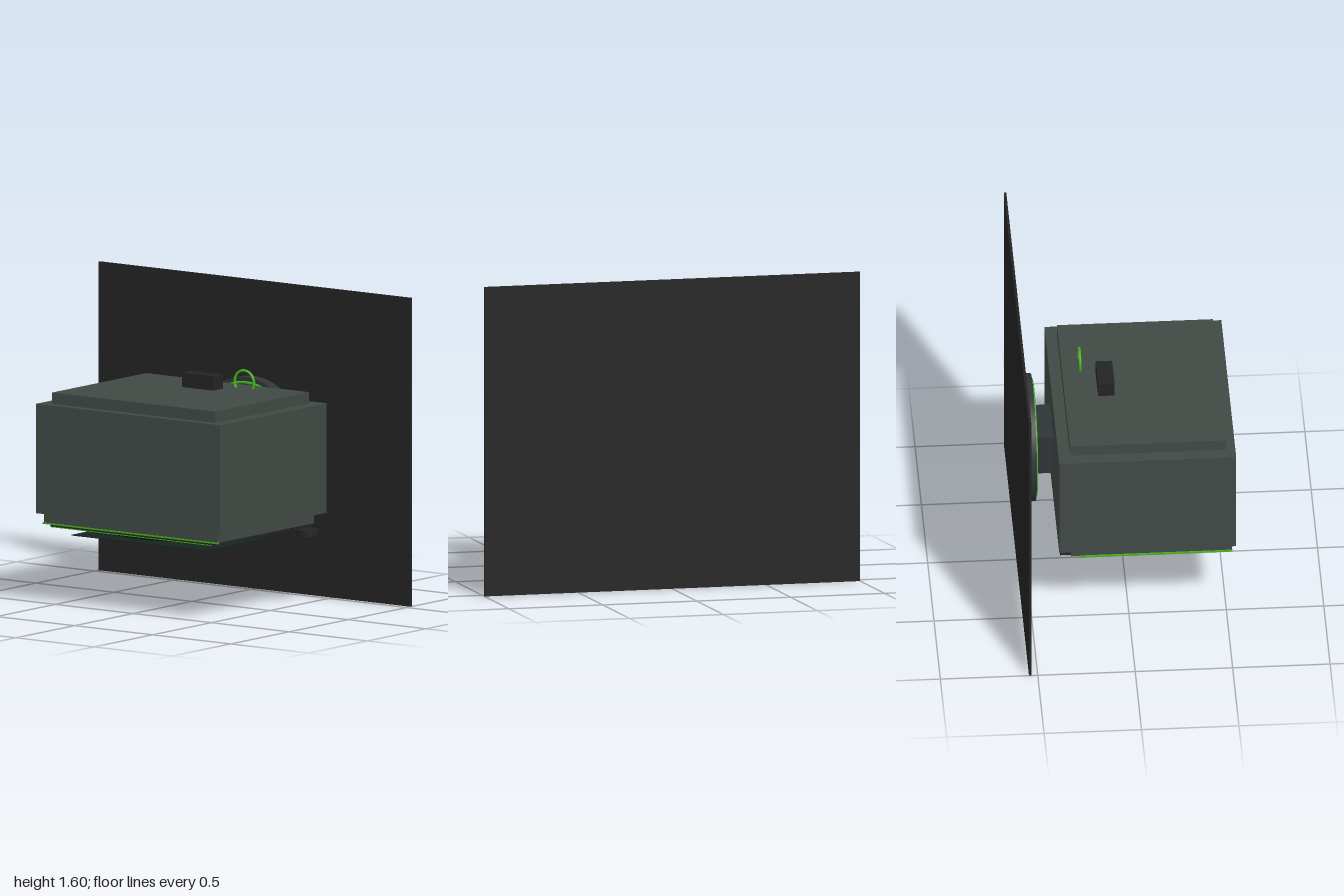
import * as THREE from 'three';

const mat = (color) => new THREE.MeshStandardMaterial({ color });

export function createModel() {
  const model = new THREE.Group();
  const shell = mat(0x414945), dark = mat(0x242424), metal = mat(0x303537);
  const green = mat(0x46b31c), glass = mat(0x14241f);

  const add = (name, geometry, material) => {
    const mesh = new THREE.Mesh(geometry, material);
    mesh.name = name;
    model.add(mesh);
    return mesh;
  };
  // Box given by its limits on each axis
  const box = (name, material, x0, x1, y0, y1, z0, z1) =>
    add(name, new THREE.BoxGeometry(x1 - x0, y1 - y0, z1 - z0), material)
      .position.set((x0 + x1) / 2, (y0 + y1) / 2, (z0 + z1) / 2);
  const ring = (name, radius, tube, x, y, z) => {
    const mesh = add(name, new THREE.TorusGeometry(radius, tube, 10, 64), green);
    mesh.position.set(x, y, z);
    return mesh;
  };

  // Wall panel behind everything
  box('wallPanel', dark, -1, 1, 0, 1.6, -0.545, -0.532);

  // Round wall mount with accent ring and neck
  const disc = add('mountDisc', new THREE.CylinderGeometry(0.328, 0.328, 0.06, 64), metal);
  disc.rotation.x = Math.PI / 2;
  disc.position.set(0, 0.777, -0.49);
  ring('mountRing', 0.3, 0.007, 0, 0.777, -0.459);
  box('mountNeck', metal, -0.143, 0.143, 0.65, 0.875, -0.47, -0.35);

  // Housing: main body, raised lid and lower bezel
  box('housing', shell, -0.59, 0.59, 0.47, 1.037, -0.363, 0.545);
  box('housingLid', shell, -0.522, 0.522, 1.037, 1.096, -0.303, 0.498);
  box('lowerBezel', shell, -0.555, 0.555, 0.42, 0.47, -0.3, 0.525);

  // Top block and standing ring
  box('topBlock', dark, -0.1, 0.1, 1.096, 1.17, -0.132, -0.047);
  ring('topRing', 0.062, 0.007, 0.177, 1.125, -0.21);

  // Green accent strips under the bezel
  box('frontStrip', green, -0.562, 0.562, 0.415, 0.423, 0.515, 0.527);
  box('sideStrip', green, -0.562, -0.55, 0.415, 0.423, -0.26, 0.527);
  box('frameStrip', green, -0.51, 0.51, 0.4, 0.404, 0.508, 0.512);

  // Underside: frame, domed lens and flat glass pane
  box('lensFrame', dark, -0.522, 0.522, 0.4, 0.42, -0.14, 0.51);
  const lens = add('lensDome',
    new THREE.SphereGeometry(1, 48, 12, 0, Math.PI * 2, Math.PI / 2, Math.PI / 2), glass);
  lens.scale.set(0.45, 0.043, 0.29);
  lens.position.set(0, 0.4, 0.19);
  box('glassPane', glass, -0.43, 0.43, 0.358, 0.362, -0.078, 0.455);

  // Rear bar, adjusting knob and flat ring
  box('rearBar', dark, -0.5, 0.5, 0.388, 0.445, -0.353, -0.21);
  add('knob', new THREE.CylinderGeometry(0.058, 0.058, 0.03, 32), dark)
    .position.set(0.538, 0.375, -0.27);
  ring('lowerRing', 0.06, 0.007, -0.385, 0.374, -0.187).rotation.x = Math.PI / 2;

  return model;
}
